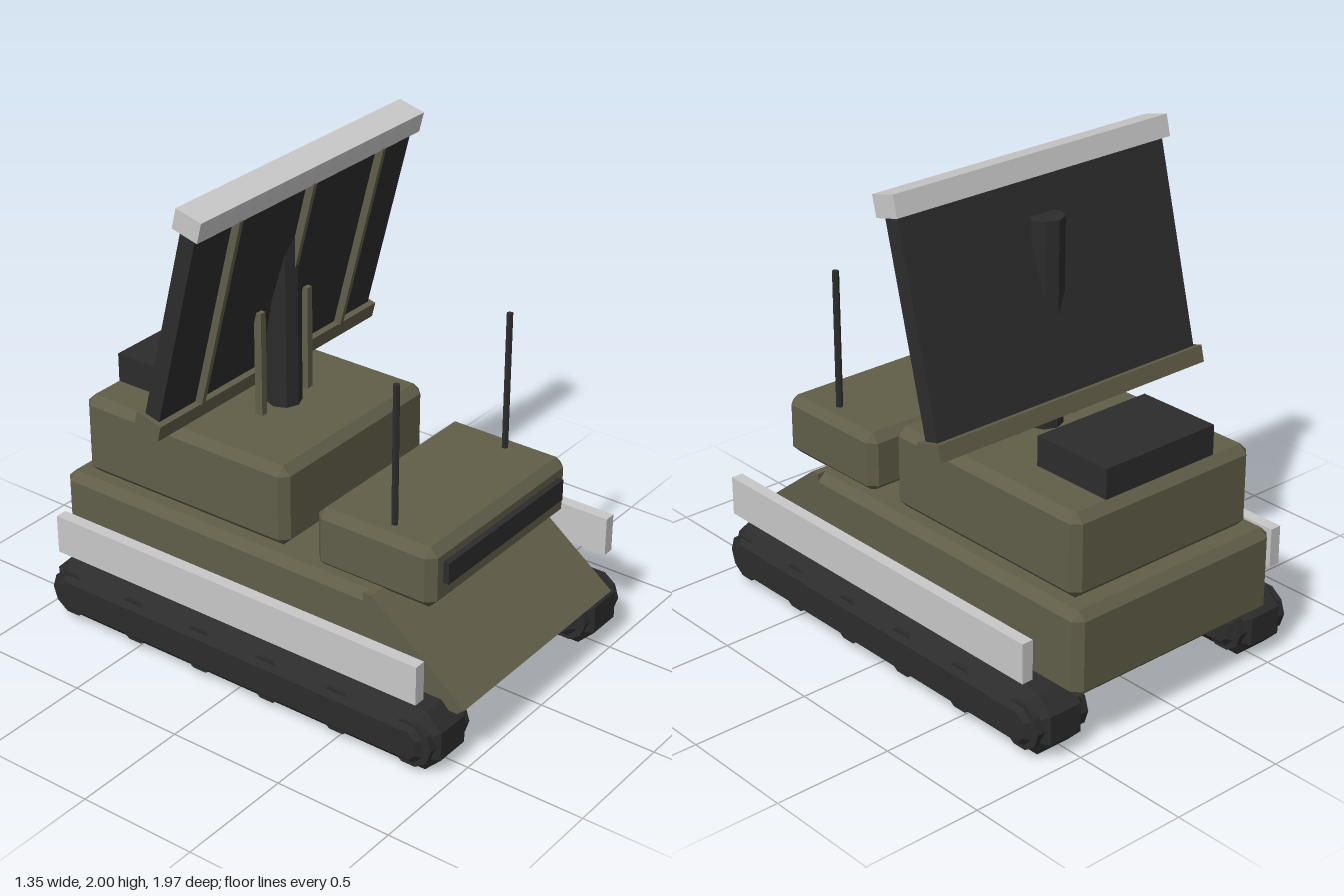
import * as THREE from 'three';
import { ConvexGeometry } from 'three/addons/geometries/ConvexGeometry.js';

function material(name, color) {
  const m = new THREE.MeshStandardMaterial({ color });
  m.name = name;
  return m;
}

// Box with every edge cut at 45 degrees
function chamferBox(w, h, d, c) {
  const points = [];
  for (const sx of [-1, 1]) for (const sy of [-1, 1]) for (const sz of [-1, 1]) {
    const x = w / 2, y = h / 2, z = d / 2;
    points.push(
      new THREE.Vector3(sx * x, sy * (y - c), sz * (z - c)),
      new THREE.Vector3(sx * (x - c), sy * y, sz * (z - c)),
      new THREE.Vector3(sx * (x - c), sy * (y - c), sz * z));
  }
  return new ConvexGeometry(points);
}

// Side profile of [z, y] points, extruded across x and centred on it
function sideProfile(points, width, bevel = 0) {
  const shape = new THREE.Shape(points.map(([z, y]) => new THREE.Vector2(z, y)));
  const depth = width - 2 * bevel;
  return new THREE.ExtrudeGeometry(shape, {
    depth, bevelEnabled: bevel > 0, bevelThickness: bevel,
    bevelSize: bevel, bevelOffset: -bevel, bevelSegments: 1,
  }).translate(0, 0, -depth / 2).rotateY(-Math.PI / 2);
}

export function createModel() {
  const olive = material('olive paint', 0x605d48);
  const dark = material('dark grey', 0x2c2c2c);
  const light = material('light grey', 0xc8c8c8);
  const model = new THREE.Group();
  model.name = 'radarVehicle';

  function add(name, geometry, mat, x = 0, y = 0, z = 0, parent = model) {
    const mesh = new THREE.Mesh(geometry, mat);
    mesh.name = name;
    mesh.position.set(x, y, z);
    parent.add(mesh);
    return mesh;
  }
  const box = (w, h, d) => new THREE.BoxGeometry(w, h, d);
  const rod = (r, h, sides) => new THREE.CylinderGeometry(r, r, h, sides).toNonIndexed();
  const flat = (geometry) => { geometry.computeVertexNormals(); return geometry; };

  // Hull with sloped nose
  add('hull', chamferBox(1.02, 0.36, 1.54, 0.035), olive, 0, 0.405, -0.215);
  add('nose', sideProfile(
    [[0.52, 0.225], [0.95, 0.225], [0.985, 0.255], [0.555, 0.585], [0.52, 0.585]], 1.02), olive);

  // Cab and rear equipment housing
  add('cab', chamferBox(0.91, 0.255, 0.545, 0.035), olive, 0, 0.6975, 0.5175);
  add('windscreen', box(0.77, 0.09, 0.05), dark, 0, 0.715, 0.79);
  add('rearHousing', chamferBox(0.91, 0.345, 1.02, 0.035), olive, 0, 0.7575, -0.4);
  add('vent', box(0.55, 0.13, 0.365), dark, 0, 0.988, -0.6925);

  // Running gear, skirts and aerials on both sides
  const trackGeometry = sideProfile([
    [-0.88, -0.13], [0.88, -0.13], [0.95, -0.06], [0.95, 0.06],
    [0.88, 0.13], [-0.88, 0.13], [-0.95, 0.06], [-0.95, -0.06]], 0.29, 0.07);
  const wheelGeometry = flat(rod(0.1, 0.25, 10).rotateZ(Math.PI / 2));
  for (const [side, s] of [['left', 1], ['right', -1]]) {
    add(side + 'Track', trackGeometry, dark, s * 0.53, 0.13, 0);
    for (let i = 0; i < 6; i++) {
      add(side + 'Wheel', wheelGeometry, dark, s * 0.53, 0.13, (i - 2.5) * 0.335);
    }
    add(side + 'Skirt', box(0.05, 0.165, 1.755), light, s * 0.65, 0.4075, 0.0025);
    add(side + 'Aerial', flat(rod(0.014, 0.59, 6)), dark, s * 0.365, 1.11, 0.555);
    add(side + 'Strut', box(0.03, 0.44, 0.034), olive, s * 0.145, 1.15, -0.25);
  }

  // Mast carrying the tilted array
  add('mast', flat(rod(0.072, 0.85, 8)), dark, 0, 1.345, -0.25);
  const array = new THREE.Group();
  array.name = 'radarArray';
  array.position.set(0, 1.5, -0.258);
  array.rotation.x = 0.25;
  model.add(array);
  add('arrayPanel', box(1.31, 0.84, 0.07), dark, 0, 0, 0, array);
  add('arrayTopBar', box(1.35, 0.087, 0.12), light, 0, 0.456, 0, array);
  add('arrayBottomBar', box(1.35, 0.068, 0.12), olive, 0, -0.453, 0, array);
  for (const x of [-0.435, 0, 0.435]) {
    add('arrayRib', box(0.02, 0.84, 0.035), olive, x, 0, 0.05, array);
  }
  return model;
}
